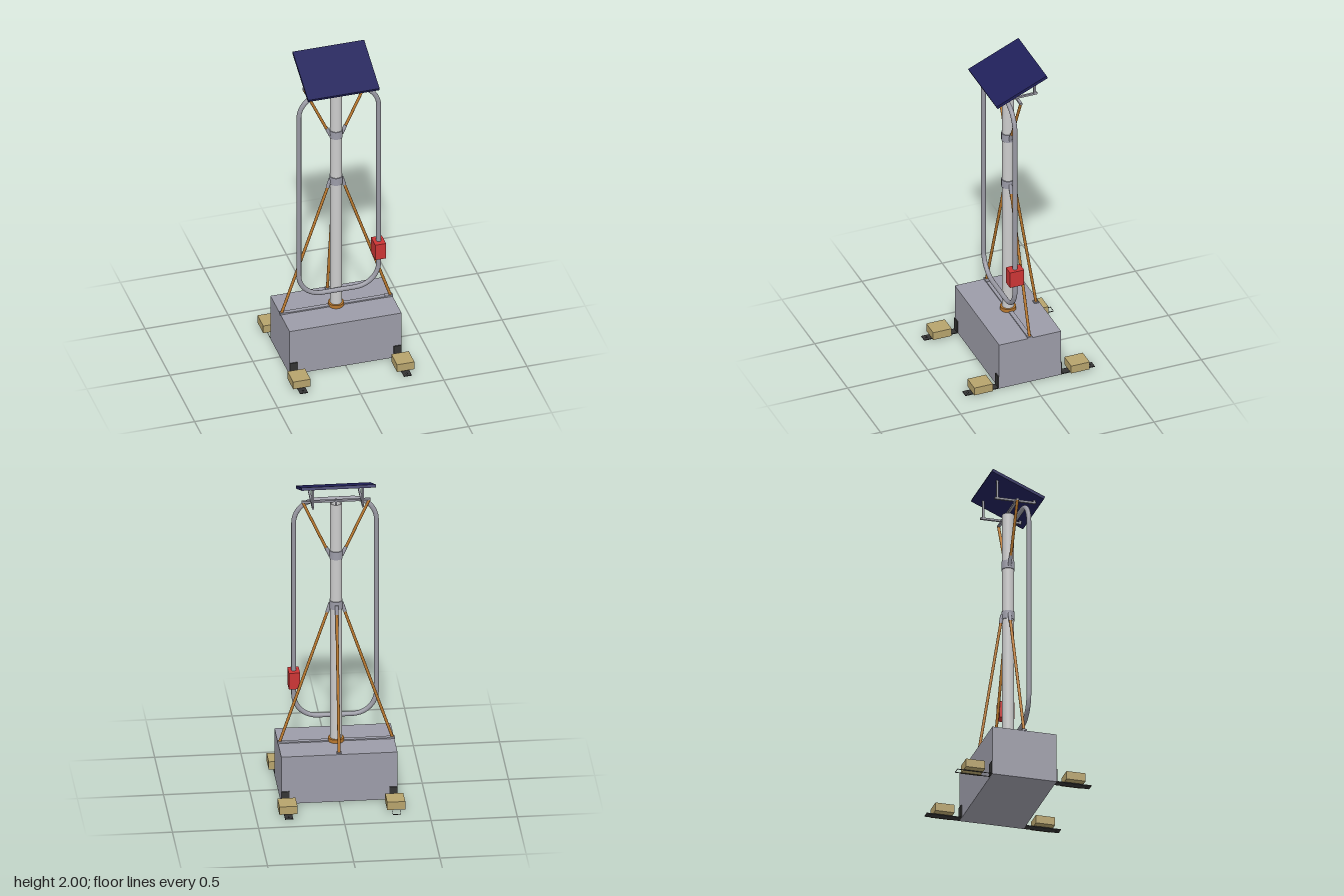
import * as THREE from 'three';

const mat = (name, color) => Object.assign(new THREE.MeshStandardMaterial({ color }), { name });

export function createModel() {
  const model = new THREE.Group();
  model.name = 'solarMast';
  const grey = mat('housing grey', 0x9c9ca8);
  const pale = mat('pole pale grey', 0xcccccc);
  const steel = mat('tube steel', 0x9898a2);
  const copper = mat('copper', 0xb9782e);
  const red = mat('box red', 0xcc3535);
  const navy = mat('panel navy', 0x20205a);
  const wood = mat('ballast tan', 0xb6a36c);
  const black = mat('bracket black', 0x343434);

  const add = (name, geo, material, x = 0, y = 0, z = 0, parent = model) => {
    const m = new THREE.Mesh(geo, material);
    m.name = name;
    m.position.set(x, y, z);
    parent.add(m);
    return m;
  };
  const box = (name, w, h, d, material, x, y, z, parent) =>
    add(name, new THREE.BoxGeometry(w, h, d), material, x, y, z, parent);
  // Round rod between two points
  const rod = (name, a, b, r, material) => {
    const p = new THREE.Vector3(...a), q = new THREE.Vector3(...b);
    const m = add(name, new THREE.CylinderGeometry(r, r, p.distanceTo(q), 16), material);
    m.position.copy(p).lerp(q, 0.5);
    m.quaternion.setFromUnitVectors(new THREE.Vector3(0, 1, 0), q.sub(p).normalize());
    return m;
  };
  // Hollow ring; corners are doubled so that the edges stay sharp
  const ring = (name, inner, outer, y0, y1, material) => {
    const c = [[inner, y0], [outer, y0], [outer, y1], [inner, y1], [inner, y0]];
    const pts = c.flatMap((p, i) => (i && i < 4 ? [p, p] : [p])).map(p => new THREE.Vector2(...p));
    return add(name, new THREE.LatheGeometry(pts, 32), material);
  };

  // Ballast housing and top plate
  box('baseHousing', 0.674, 0.3, 0.386, grey, 0, 0.15, 0);
  box('basePlate', 0.68, 0.007, 0.026, grey, 0, 0.3035, 0);
  box('rearBasePlate', 0.028, 0.007, 0.028, grey, 0, 0.3035, -0.173);

  // Corner brackets with ballast blocks
  const tab = new THREE.Shape();
  tab.moveTo(-0.0235, 0.193).lineTo(0.0235, 0.193).lineTo(0.0235, 0.403).lineTo(-0.0235, 0.403).closePath();
  tab.holes.push(new THREE.Path().absarc(0, 0.38, 0.005, 0, Math.PI * 2, true));
  const tabGeo = new THREE.ExtrudeGeometry(tab, { depth: 0.005, bevelEnabled: false, curveSegments: 8 });
  tabGeo.rotateX(Math.PI / 2).translate(0, 0.005, 0);
  for (const sx of [-1, 1]) for (const sz of [-1, 1]) {
    const corner = new THREE.Group();
    corner.name = 'cornerFoot';
    corner.position.x = sx * 0.3125;
    if (sz < 0) corner.rotation.y = Math.PI;
    model.add(corner);
    box('footFlange', 0.047, 0.08, 0.006, black, 0, 0.04, 0.196, corner);
    box('ballastBlock', 0.105, 0.05, 0.115, wood, 0, 0.037, 0.302, corner);
    if (sx < 0 && sz < 0) {
      // This foot is only an open rim
      for (const s of [-1, 1]) box('footRim', 0.001, 0.005, 0.21, black, s * 0.023, 0.0025, 0.298, corner);
      box('footRimEnd', 0.047, 0.005, 0.001, black, 0, 0.0025, 0.4025, corner);
    } else add('footTab', tabGeo, black, 0, 0, 0, corner);
  }

  // Hollow pole with foot ring and clamps
  ring('pole', 0.029, 0.034, 0.3, 1.82, pale);
  ring('poleFootRing', 0.033, 0.046, 0.3, 0.322, copper);
  ring('lowerClamp', 0.033, 0.039, 1.15, 1.2, grey);
  ring('upperClamp', 0.033, 0.039, 1.47, 1.52, grey);

  // Side struts and their clamp lugs
  for (const s of [-1, 1]) {
    rod('lowerStrut', [s * 0.042, 1.15, 0], [s * 0.327, 0.305, 0], 0.0085, copper);
    rod('upperStrut', [s * 0.042, 1.5, 0], [s * 0.193, 1.832, 0], 0.0085, copper);
    rod('lowerLug', [s * 0.034, 1.18, 0], [s * 0.051, 1.125, 0], 0.0105, grey);
    rod('upperLug', [s * 0.034, 1.485, 0], [s * 0.058, 1.538, 0], 0.0105, grey);
    box('strutFoot', 0.047, 0.012, 0.028, grey, s * 0.3165, 0.304, 0);
  }
  rod('rearStrut', [0, 1.15, -0.04], [0, 0.305, -0.174], 0.0085, copper);
  rod('rearLug', [0, 1.18, -0.036], [0, 1.125, -0.045], 0.0105, grey);

  // Closed tube loop with rounded corners
  const W = 0.24, Y0 = 0.439, Y1 = 1.819, R = 0.14;
  const loop = new THREE.CurvePath();
  const v = (x, y) => new THREE.Vector3(x, y, 0);
  const corners = [[W - R, Y0 + R, -90], [W - R, Y1 - R, 0], [R - W, Y1 - R, 90], [R - W, Y0 + R, 180]];
  const arcs = corners.map(([x, y, a]) => Array.from({ length: 13 }, (_, i) => {
    const t = THREE.MathUtils.degToRad(a + i * 7.5);
    return v(x + R * Math.cos(t), y + R * Math.sin(t));
  }));
  const pts = arcs.flat();
  pts.forEach((p, i) => loop.add(new THREE.LineCurve3(p, pts[(i + 1) % pts.length])));
  add('tubeLoop', new THREE.TubeGeometry(loop, 320, 0.014, 14, true), steel, 0, 0, 0.055);

  // Control box on the loop
  box('controlBox', 0.065, 0.103, 0.088, red, 0.2395, 0.6835, 0.055);

  // Panel mount
  box('mountCrossbar', 0.4, 0.012, 0.016, steel, 0, 1.834, 0);
  rod('mountPost', [0, 1.8, 0], [0, 1.845, 0], 0.006, steel);
  for (const s of [-1, 1]) {
    box('mountRail', 0.012, 0.012, 0.245, steel, s * 0.145, 1.849, 0);
    box('mountUpright', 0.012, 0.115, 0.012, steel, s * 0.145, 1.907, -0.106);
    box('mountFrontStub', 0.012, 0.022, 0.012, steel, s * 0.145, 1.861, 0.116);
  }

  // Tilted solar panel
  const panel = box('solarPanel', 0.43, 0.018, 0.342, navy, 0, 1.924, 0);
  panel.rotation.x = THREE.MathUtils.degToRad(23.5);
  return model;
}
